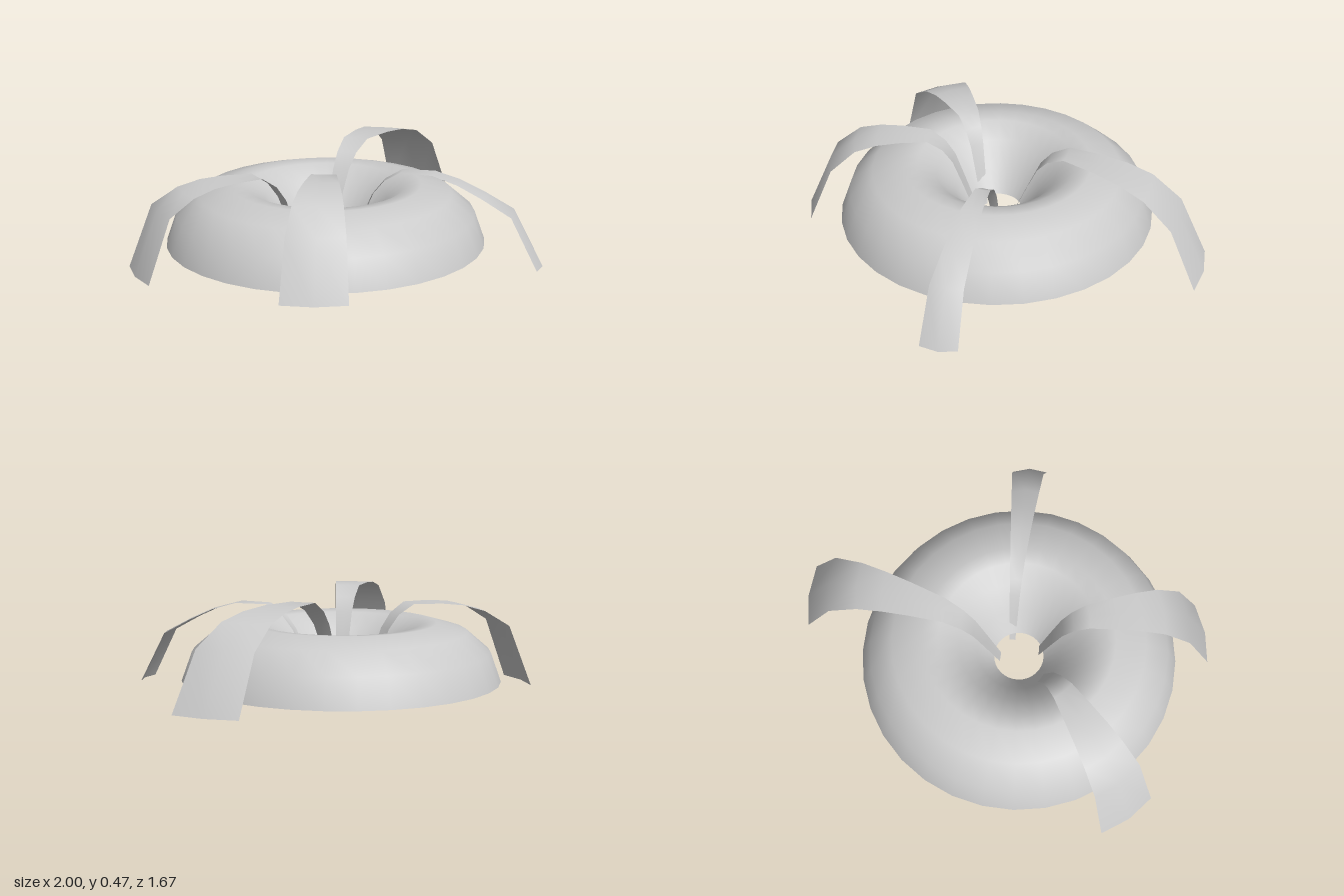
import * as THREE from 'three';

const material = new THREE.MeshStandardMaterial({ color: 0xcccccc, side: THREE.DoubleSide });

// Open-bottomed ring with a funnel in the middle
function createBowl() {
  const profile = [
    [0.76, 0.06], [0.71, 0.2], [0.6, 0.295], [0.455, 0.336],
    [0.38, 0.328], [0.29, 0.27], [0.2, 0.17], [0.12, 0.06],
  ].map(([r, y]) => new THREE.Vector2(r, y));
  const bowl = new THREE.Mesh(new THREE.LatheGeometry(profile, 32), material);
  bowl.name = 'ringBody';
  bowl.position.set(-0.09, 0, -0.08);
  return bowl;
}

// Arched strap that widens from its inner edge to its outer edge.
// inner and outer are [x, z] corner pairs; shoulder gives two heights near the end.
function createStrap({ name, inner, outer, base, shoulder }) {
  const arch = [
    [0, 0], [0.07, 0.16], [0.13, 0.29], [0.19, 0.36], [0.28, 0.41], [0.45, 0.41],
    [0.58, (0.41 + shoulder[0]) / 2 + 0.01], [0.71, shoulder[0]], [0.86, shoulder[1]], [1, 0],
  ];
  const corner = (pair, i) => new THREE.Vector2(...pair[i]);
  const positions = [];
  const index = [];
  arch.forEach(([t, h], row) => {
    const a = corner(inner, 0).lerp(corner(outer, 0), t);
    const b = corner(inner, 1).lerp(corner(outer, 1), t);
    const mid = a.clone().add(b).multiplyScalar(0.5);
    // The middle of each cross-section bows slightly outwards
    const bow = new THREE.Vector2(b.y - a.y, a.x - b.x).normalize().multiplyScalar(0.02 * t);
    mid.add(bow);
    for (const p of [a, mid, b]) positions.push(p.x, base + h, p.y);
    if (row === 0) return;
    for (let j = 0; j < 2; j++) {
      const k = row * 3 + j;
      index.push(k - 3, k - 2, k, k - 2, k + 1, k);
    }
  });
  const geometry = new THREE.BufferGeometry();
  geometry.setAttribute('position', new THREE.Float32BufferAttribute(positions, 3));
  geometry.setIndex(index);
  geometry.computeVertexNormals();
  const strap = new THREE.Mesh(geometry, material);
  strap.name = name;
  return strap;
}

export function createModel() {
  const group = new THREE.Group();
  group.name = 'ringWithStraps';
  group.add(createBowl());

  // Corner order runs so that each strap bows away from the centre
  const straps = [
    { name: 'backLeftStrap', base: 0.06, shoulder: [0.365, 0.265],
      inner: [[-0.03, -0.155], [-0.01, -0.115]], outer: [[0.84, -0.55], [1, -0.285]] },
    { name: 'backRightStrap', base: 0, shoulder: [0.37, 0.295],
      inner: [[-0.21, -0.09], [-0.21, -0.13]], outer: [[-1, -0.275], [-0.905, -0.55]] },
    { name: 'frontRightStrap', base: 0.06, shoulder: [0.37, 0.265],
      inner: [[-0.14, 0.02], [-0.165, -0.02]], outer: [[-0.64, 0.64], [-0.85, 0.43]] },
    { name: 'frontLeftStrap', base: 0, shoulder: [0.32, 0.245],
      inner: [[0.01, -0.02], [-0.015, -0.005]], outer: [[0.53, 0.73], [0.385, 0.83]] },
  ];
  for (const strap of straps) group.add(createStrap(strap));
  return group;
}
